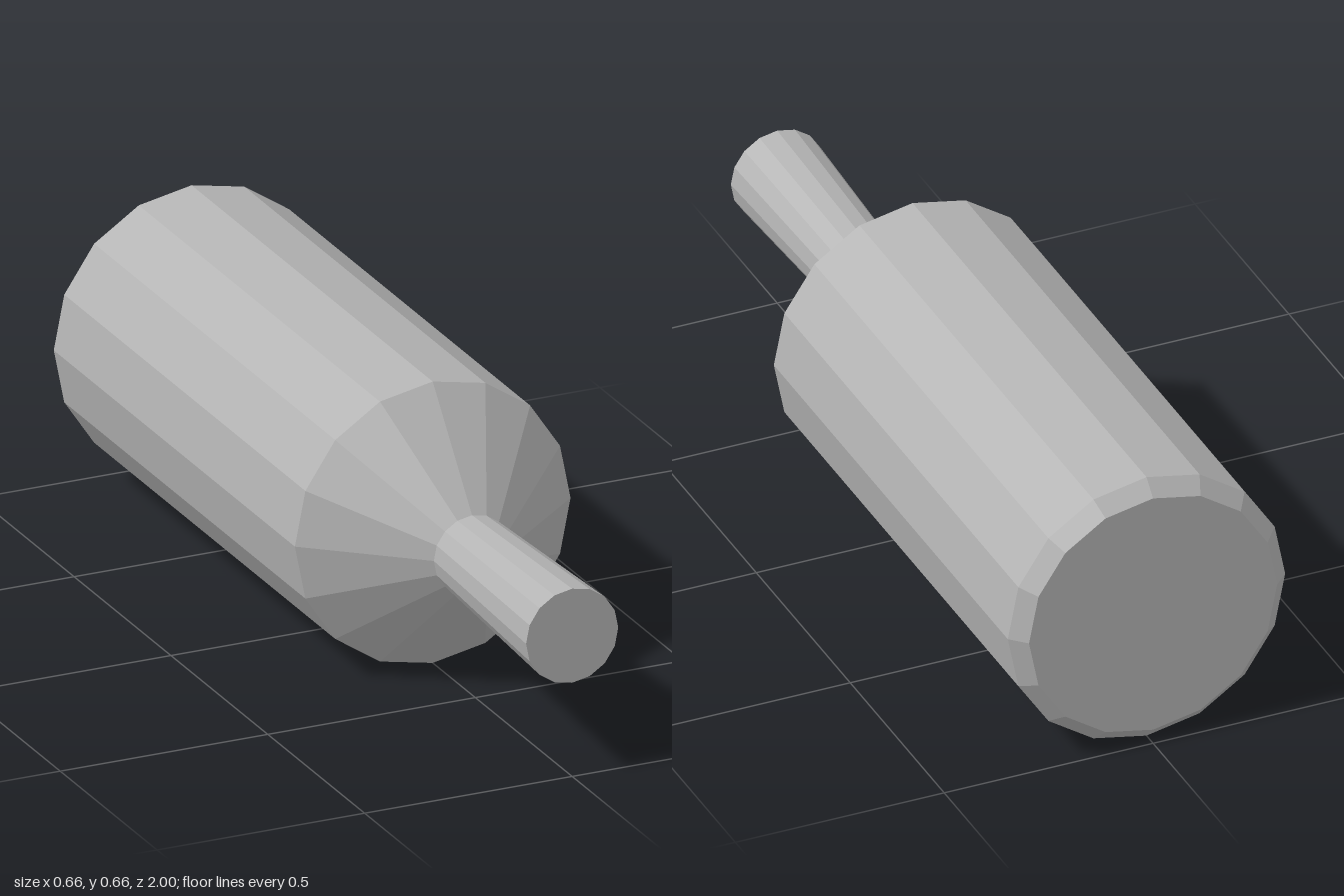
import * as THREE from 'three';

const SIDES = 16;
const AXIS_Y = 0.332;

export function createModel() {
  const group = new THREE.Group();
  const grey = new THREE.MeshStandardMaterial({ color: 0xb3b3b3, flatShading: true });
  grey.name = 'plain grey';

  // Turns a [radius, z] profile, listed from back to front, around the long axis
  function addTurned(name, profile) {
    const points = profile.map(([r, z]) => new THREE.Vector2(r, z));
    const geometry = new THREE.LatheGeometry(points, SIDES);
    geometry.rotateX(Math.PI / 2);
    const mesh = new THREE.Mesh(geometry, grey);
    mesh.name = name;
    mesh.position.y = AXIS_Y;
    group.add(mesh);
  }

  // Closed back end with its bevelled rim
  addTurned('bevelledBase', [[0, -1], [0.297, -1], [0.332, -0.965]]);
  // Long straight barrel
  addTurned('body', [[0.332, -0.965], [0.332, 0.28]]);
  // Cone narrowing to the neck
  addTurned('shoulder', [[0.332, 0.28], [0.092, 0.483]]);
  // Slightly flared neck with a flat end
  addTurned('neck', [[0.092, 0.483], [0.111, 1], [0, 1]]);

  return group;
}
